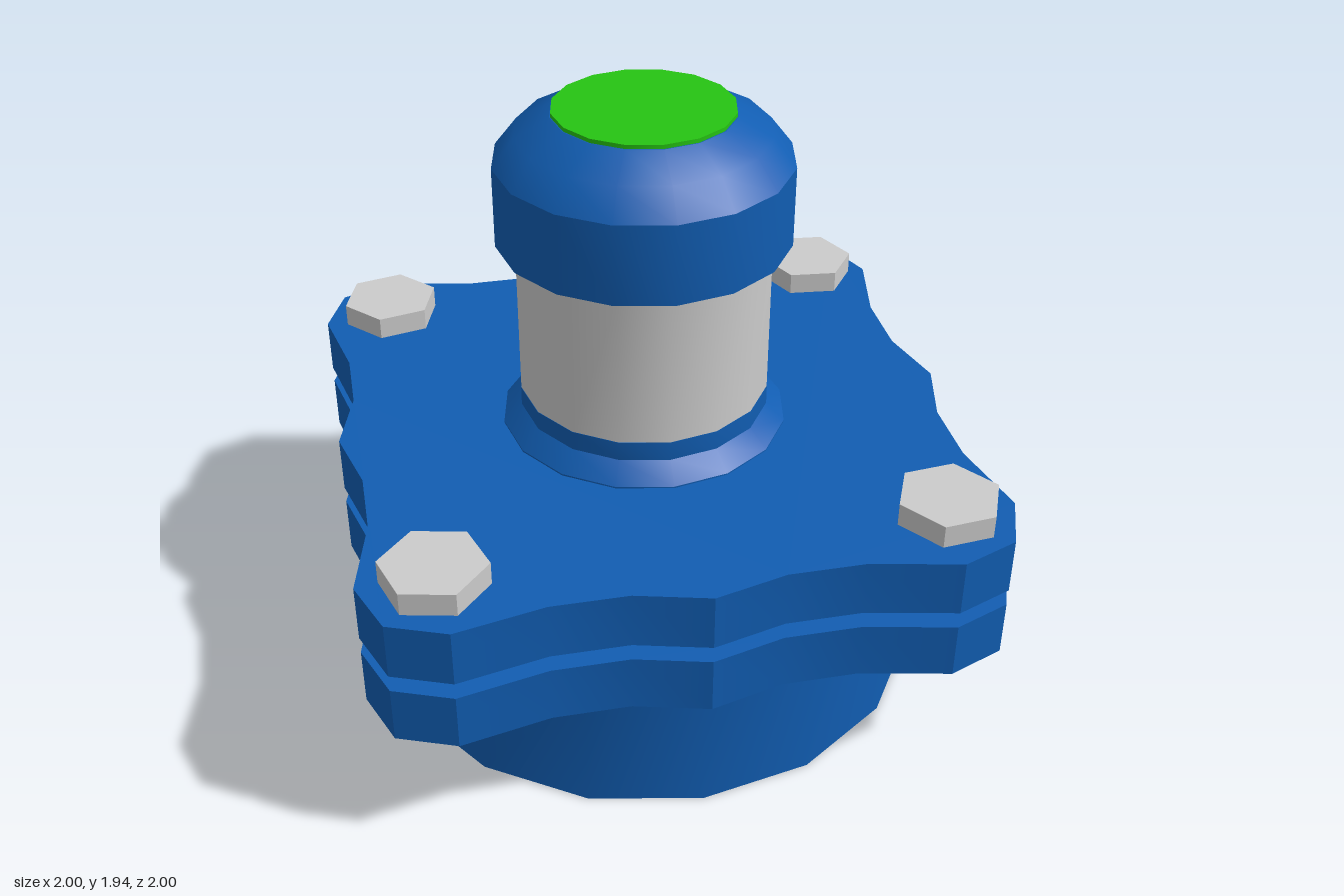
import * as THREE from 'three';
import { toCreasedNormals } from 'three/addons/utils/BufferGeometryUtils.js';

const SIDES = 16;
const blue = new THREE.MeshStandardMaterial({ color: 0x115db2 });
const green = new THREE.MeshStandardMaterial({ color: 0x26c413 });
const grey = new THREE.MeshStandardMaterial({ color: 0xcccccc });

function addMesh(parent, name, geometry, material) {
  const mesh = new THREE.Mesh(toCreasedNormals(geometry, 0.5), material);
  mesh.name = name;
  parent.add(mesh);
  return mesh;
}

// Turned part; profile is [radius, height] from bottom to top
function turned(profile) {
  return new THREE.LatheGeometry(profile.map(([r, y]) => new THREE.Vector2(r, y)), SIDES);
}

function cylinder(radius, y0, y1, sides = SIDES) {
  return new THREE.CylinderGeometry(radius, radius, y1 - y0, sides).translate(0, (y0 + y1) / 2, 0);
}

// Wavy square flange: one side's outline repeated by quarter turns
function flange(y0, y1) {
  const side = [[1, -0.75], [0.94, -0.47], [0.94, -0.23], [1, 0], [0.94, 0.23], [0.94, 0.47], [1, 0.75], [0.93, 0.93]];
  const points = [];
  for (let q = 0; q < 4; q++) {
    for (const [x, y] of side) {
      points.push(new THREE.Vector2(x, y).rotateAround(new THREE.Vector2(), q * Math.PI / 2));
    }
  }
  return new THREE.ExtrudeGeometry(new THREE.Shape(points), { depth: y1 - y0, bevelEnabled: false })
    .rotateX(-Math.PI / 2).translate(0, y0, 0);
}

export function createModel() {
  const model = new THREE.Group();
  model.name = 'flangedButton';

  // Base and the two flanges
  addMesh(model, 'base', cylinder(0.93, 0, 0.445), blue);
  addMesh(model, 'lowerFlange', flange(0.445, 0.63), blue);
  addMesh(model, 'upperFlange', flange(0.685, 0.87), blue);

  // Grooved seal between the flanges
  addMesh(model, 'seal', turned([[0.47, 0.625], [0.435, 0.655], [0.47, 0.69]]), blue);

  // Sloped collar, neck and stem
  addMesh(model, 'collar', turned([[0.465, 0.86], [0.465, 0.875], [0.405, 0.935], [0.405, 1], [0, 1]]), blue);
  addMesh(model, 'stem', cylinder(0.404, 0.99, 1.515), grey);

  // Domed cap with the button face
  addMesh(model, 'cap', turned([
    [0, 1.503], [0.41, 1.503], [0.465, 1.52], [0.465, 1.78], [0.395, 1.87], [0.285, 1.93], [0, 1.93],
  ]), blue);
  addMesh(model, 'buttonFace', cylinder(0.282, 1.92, 1.943), green);

  // Hexagonal corner bolts: x, z, turn
  const bolts = [[0.778, 0.763, 0.1], [0.778, -0.763, -0.1], [-0.77, 0.77, -0.22], [-0.77, -0.77, 0.22]];
  for (const [x, z, turn] of bolts) {
    const bolt = new THREE.Group();
    bolt.name = 'bolt';
    addMesh(bolt, 'boltHead', cylinder(0.164, 0.87, 0.945, 6), grey);
    addMesh(bolt, 'boltShaft', cylinder(0.082, 0.55, 0.87, 6), grey);
    bolt.position.set(x, 0, z);
    bolt.rotation.y = Math.PI / 2 + turn;
    model.add(bolt);
  }
  return model;
}
